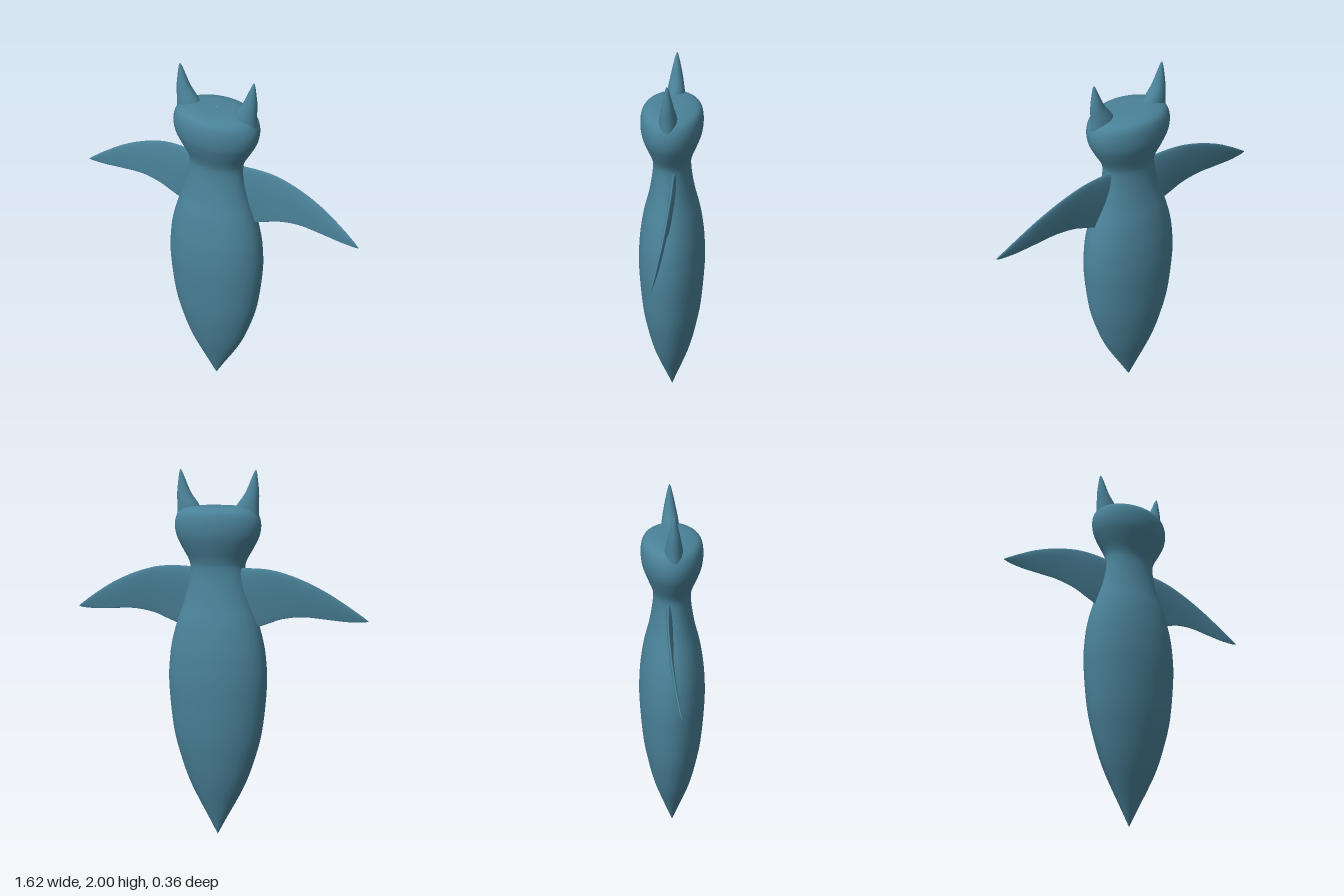
import * as THREE from 'three';

// Uniform Catmull-Rom through rows of numbers, sampled 'steps' times per span
function smoothRows(rows, steps) {
  const out = [], last = rows.length - 1;
  for (let i = 0; i < last; i++) {
    const [p, a, b, n] = [rows[Math.max(i - 1, 0)], rows[i], rows[i + 1], rows[Math.min(i + 2, last)]];
    for (let s = 0; s < steps; s++) {
      const t = s / steps;
      out.push(a.map((v, k) => {
        const m0 = (b[k] - p[k]) / 2, m1 = (n[k] - v) / 2, d = b[k] - v;
        return v + t * (m0 + t * (3 * d - 2 * m0 - m1 + t * (m0 + m1 - 2 * d)));
      }));
    }
  }
  out.push(rows[last]);
  return out;
}

// Skins closed rings; pointAt(row, angle) gives a ring point, side = -1 mirrors in x
function loft(rows, pointAt, { steps = 5, sides = 40, side = 1 } = {}) {
  const rings = smoothRows(rows, steps), pos = [], index = [];
  rings.forEach(r => {
    for (let j = 0; j < sides; j++) {
      const [x, y, z] = pointAt(r, (j / sides) * Math.PI * 2);
      pos.push(x * side, y, z);
    }
  });
  for (let i = 0; i < rings.length - 1; i++) {
    for (let j = 0; j < sides; j++) {
      const a = i * sides + j, b = i * sides + (j + 1) % sides, c = a + sides, d = b + sides;
      if (side > 0) index.push(a, c, b, b, c, d);
      else index.push(a, b, c, b, d, c);
    }
  }
  const g = new THREE.BufferGeometry();
  g.setAttribute('position', new THREE.Float32BufferAttribute(pos, 3));
  g.setIndex(index);
  g.computeVertexNormals();
  return g;
}

// Upright ellipse: [y, centre x, radius x, radius z]
const upright = ([y, cx, rx, rz], t) => [cx + rx * Math.cos(t), y, rz * Math.sin(t)];

// Wing slice: [x, top y, bottom y, top z, bottom z, half thickness], thicker towards the top
const wingSlice = ([x, top, bottom, zTop, zBottom, thick], t) => {
  const c = Math.cos(t), k = (1 + c) / 2;
  return [x, bottom + (top - bottom) * k,
    zBottom + (zTop - zBottom) * k - thick * Math.sin(t) * (0.65 + 0.35 * c)];
};

const bodyRows = [
  [0, 0, 0.001, 0.001], [0.1, 0, 0.053, 0.036], [0.2, 0, 0.107, 0.07], [0.3, 0, 0.156, 0.102],
  [0.42, 0, 0.2, 0.13], [0.6, 0, 0.247, 0.16], [0.85, 0, 0.272, 0.177], [1.0, 0, 0.266, 0.174],
  [1.1, 0, 0.25, 0.164], [1.2, 0, 0.222, 0.147], [1.3, 0, 0.187, 0.122], [1.4, 0, 0.16, 0.104],
  [1.48, 0, 0.149, 0.097], [1.53, 0, 0.158, 0.105], [1.6, 0, 0.197, 0.132], [1.66, 0, 0.225, 0.152],
  [1.72, 0, 0.233, 0.158], [1.77, 0, 0.218, 0.152], [1.797, 0, 0.185, 0.133], [1.81, 0, 0.13, 0.092],
  [1.812, 0, 0.06, 0.045], [1.812, 0, 0.001, 0.001],
];

const earRows = [
  [1.74, 0.15, 0.075, 0.05], [1.81, 0.162, 0.061, 0.044], [1.88, 0.187, 0.037, 0.031],
  [1.95, 0.199, 0.018, 0.016], [1.985, 0.204, 0.008, 0.007], [2.0, 0.206, 0.001, 0.001],
];

const wingRows = [
  [0.08, 1.49, 1.16, -0.025, -0.005, 0.022], [0.2, 1.495, 1.175, -0.03, -0.008, 0.021],
  [0.28, 1.493, 1.202, -0.035, -0.01, 0.018], [0.36, 1.48, 1.232, -0.038, -0.013, 0.015],
  [0.47, 1.445, 1.249, -0.037, -0.017, 0.013], [0.59, 1.39, 1.243, -0.031, -0.015, 0.011],
  [0.7, 1.323, 1.235, -0.019, -0.01, 0.008], [0.78, 1.268, 1.236, -0.007, -0.004, 0.005],
  [0.812, 1.243, 1.241, 0, 0, 0.001],
];

export function createModel() {
  const model = new THREE.Group();
  const tealBlue = new THREE.MeshStandardMaterial({ color: 0x4a8299 });
  tealBlue.name = 'tealBlue';

  const add = (name, geometry) => {
    const mesh = new THREE.Mesh(geometry, tealBlue);
    mesh.name = name;
    model.add(mesh);
  };

  // Tapered body, neck and flat-topped head in one skin
  add('bodyAndHead', loft(bodyRows, upright, { sides: 64 }));

  // Pointed ears and swept wings, mirrored
  for (const [label, side] of [['left', 1], ['right', -1]]) {
    add(label + 'Ear', loft(earRows, upright, { sides: 28, side }));
    add(label + 'Wing', loft(wingRows, wingSlice, { sides: 32, side }));
  }
  return model;
}
